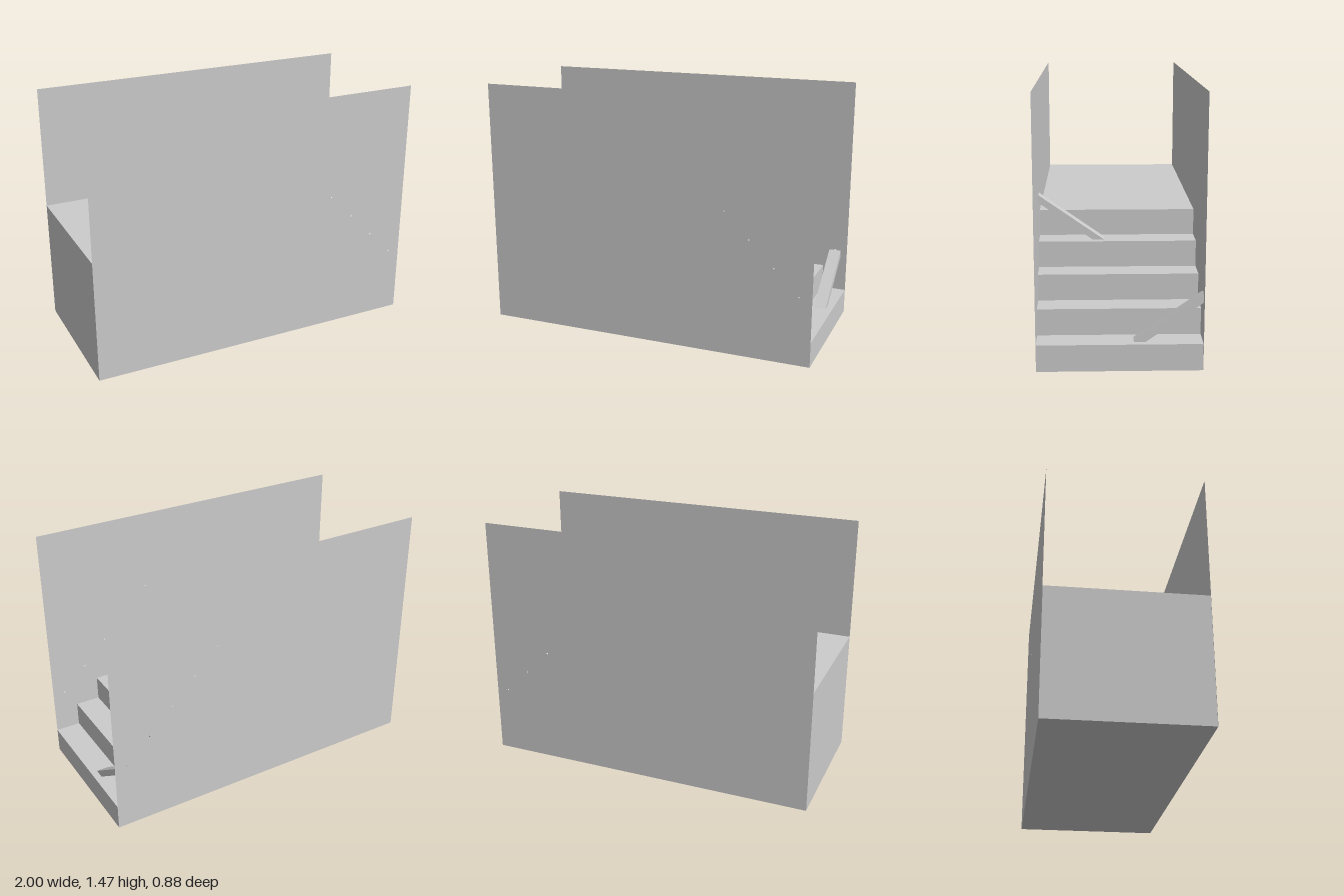
import * as THREE from 'three';

const STEPS = 5, RISE = 0.1466, RUN = 0.1466;
const HALF = 0.44, WALL_H = 1.466;

export function createModel() {
  const model = new THREE.Group();
  model.name = 'walledStaircase';
  const solid = new THREE.MeshStandardMaterial({ color: 0xcccccc, flatShading: true });
  const thin = new THREE.MeshStandardMaterial({ color: 0xcccccc, side: THREE.DoubleSide });

  const add = (name, geometry, material) => {
    const mesh = new THREE.Mesh(geometry, material);
    mesh.name = name;
    model.add(mesh);
    return mesh;
  };

  // Stair block: five steps rising to a long landing
  const profile = new THREE.Shape();
  profile.moveTo(-1, 0);
  profile.lineTo(1, 0);
  for (let i = 0; i < STEPS; i++) {
    const x = 1 - i * RUN, y = (i + 1) * RISE;
    profile.lineTo(x, y);
    profile.lineTo(i < STEPS - 1 ? x - RUN : -1, y);
  }
  const depth = 2 * (HALF - 0.001);
  const stairs = new THREE.ExtrudeGeometry(profile, { depth, bevelEnabled: false });
  stairs.translate(0, 0, -depth / 2);
  add('stairBlock', stairs, solid);

  // Thin side walls, each with a row of pinholes following the steps
  const wall = new THREE.Shape();
  wall.moveTo(-1, 0);
  wall.lineTo(1, 0);
  wall.lineTo(1, WALL_H);
  wall.lineTo(-1, WALL_H);
  wall.closePath();
  for (let i = 0; i < STEPS; i++) {
    const hole = new THREE.Path();
    hole.absarc(0.925 - i * RUN, 0.405 + i * RISE, 0.005, 0, Math.PI * 2, true);
    wall.holes.push(hole);
  }
  for (const side of [1, -1]) {
    const mesh = add(side > 0 ? 'frontWall' : 'backWall', new THREE.ShapeGeometry(wall, 4), thin);
    mesh.position.z = side * HALF;
  }

  // Slanted beams leaning from a tread up to a wall
  const beam = (name, x, treadY, side) => {
    const s = new THREE.Shape();
    s.moveTo(0.075, 0);
    s.lineTo(0.138, 0);
    s.lineTo(HALF, 0.213);
    s.lineTo(HALF, 0.257);
    s.closePath();
    const g = new THREE.ExtrudeGeometry(s, { depth: 0.072, bevelEnabled: false });
    g.translate(0, 0, -0.036);
    g.rotateY(side > 0 ? -Math.PI / 2 : Math.PI / 2);
    add(name, g, solid).position.set(x, treadY, 0);
  };
  beam('lowerBeam', 0.925, RISE, -1);
  beam('upperBeam', 0.485, 4 * RISE, 1);

  return model;
}
